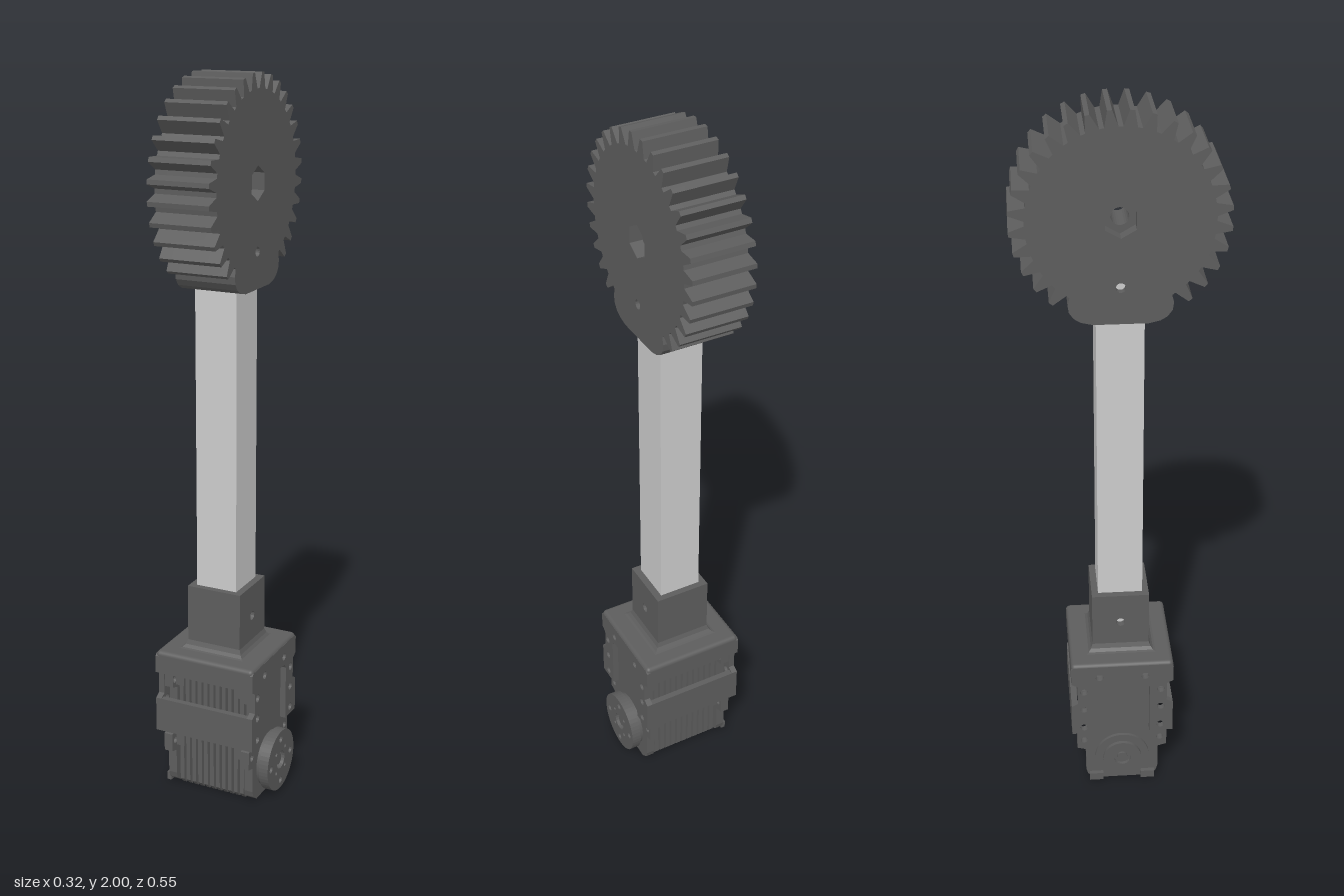
import * as THREE from 'three';
import { RoundedBoxGeometry } from 'three/addons/geometries/RoundedBoxGeometry.js';

const DARK = new THREE.MeshStandardMaterial({ color: 0x5d5d5d });
const GREY = new THREE.MeshStandardMaterial({ color: 0xcccccc });
const CX = -0.01; // the arm sits slightly off the x centre

function add(parent, name, geometry, material = DARK) {
  const mesh = new THREE.Mesh(geometry, material);
  mesh.name = name;
  parent.add(mesh);
  return mesh;
}

// Box given by its limits on each axis
function box(parent, name, x0, x1, y0, y1, z0, z1, material) {
  const g = new THREE.BoxGeometry(x1 - x0, y1 - y0, z1 - z0);
  g.translate((x0 + x1) / 2, (y0 + y1) / 2, (z0 + z1) / 2);
  return add(parent, name, g, material);
}

// Profile in the side plane, extruded along x from x0 to x1
function slab(parent, name, shape, x0, x1) {
  const g = new THREE.ExtrudeGeometry(shape, { depth: x1 - x0, bevelEnabled: false, curveSegments: 24 });
  g.rotateY(Math.PI / 2).translate(x0, 0, 0);
  return add(parent, name, g);
}

const pts = (list) => list.map(([a, b]) => new THREE.Vector2(a, b));

// Closed outline mirrored about the centre line
const mirrored = (half) => new THREE.Shape(pts([...half, ...half.map(([a, b]) => [-a, b]).reverse()]));

function hole(shape, a, b, r, sides = 20, turn = 0) {
  const ring = [];
  for (let i = 0; i < sides; i++) {
    const t = turn - (i / sides) * Math.PI * 2;
    ring.push([a + r * Math.cos(t), b + r * Math.sin(t)]);
  }
  shape.holes.push(new THREE.Path(pts(ring)));
}

function disc(parent, name, r, x0, x1, y, sides = 40) {
  const g = new THREE.CylinderGeometry(r, r, x1 - x0, sides);
  g.rotateZ(Math.PI / 2).translate((x0 + x1) / 2, y, 0);
  return add(parent, name, g);
}

// Gear outline: 32 teeth with the lowest six replaced by a rounded foot
function gearShape(cy) {
  const pitch = Math.PI / 16;
  const outline = [];
  const profile = [[-0.072, 0.235], [-0.045, 0.255], [-0.022, 0.275], [0.022, 0.275], [0.045, 0.255], [0.072, 0.235]];
  for (let i = 3; i < 29; i++) {
    const mid = -Math.PI / 2 + (i + 0.5) * pitch;
    for (const [da, r] of profile) outline.push([r * Math.cos(mid + da), cy + r * Math.sin(mid + da)]);
  }
  const foot = [[0.128, -0.198], [0.133, -0.218], [0.13, -0.238], [0.118, -0.255], [0.1, -0.266], [0.07, -0.273]];
  for (const [a, b] of foot) outline.push([-a, cy + b]);
  for (const [a, b] of foot.reverse()) outline.push([a, cy + b]);
  return new THREE.Shape(pts(outline));
}

function buildGear() {
  const group = new THREE.Group();
  group.name = 'gear';
  const cy = 1.728;
  // Hexagonal nut pockets on both faces, round bore between them
  for (const [name, x0, x1, r, sides] of [
    ['gearOuterLeft', 0.045, 0.08, 0.045, 6],
    ['gearCore', -0.055, 0.045, 0.023, 24],
    ['gearOuterRight', -0.09, -0.055, 0.045, 6],
  ]) {
    const shape = gearShape(cy);
    hole(shape, 0, cy, r, sides, Math.PI / 2);
    hole(shape, 0, 1.553, 0.013, 16);
    slab(group, name, shape, x0, x1);
  }
  return group;
}

function buildBracket() {
  const group = new THREE.Group();
  group.name = 'motorBracket';

  // Socket holding the tube, with a cross pin hole
  const socket = new THREE.Shape(pts([[-0.08, 0.42], [0.08, 0.42], [0.08, 0.62], [-0.08, 0.62]]));
  hole(socket, 0, 0.53, 0.013, 16);
  slab(group, 'socket', socket, CX - 0.08, CX + 0.08);

  // Curved flare at the foot of the socket
  const flare = [[0.105, 0.433], [0.092, 0.437], [0.085, 0.445], [0.08, 0.458]];
  for (let i = 0; i < 3; i++) {
    const [[r0, y0], [r1, y1]] = [flare[i], flare[i + 1]];
    const g = new THREE.CylinderGeometry(r1 * Math.SQRT2, r0 * Math.SQRT2, y1 - y0, 4, 1, true).toNonIndexed();
    g.rotateY(Math.PI / 4).translate(CX, (y0 + y1) / 2, 0);
    g.computeVertexNormals();
    add(group, 'socketFlare', g);
  }

  const top = new RoundedBoxGeometry(0.3, 0.03, 0.29, 3, 0.012);
  add(group, 'topPlate', top.translate(CX, 0.42, 0));

  // Side plates, open at the bottom to clear the motor
  const half = [
    [0.078, 0.19], [0.145, 0.19], [0.145, 0.29], [0.127, 0.3], [0.127, 0.36],
    [0.145, 0.37], [0.145, 0.42], [0.138, 0.427], [0.05, 0.427],
  ];
  const inner = [[0.05, 0.365], [0.07, 0.362], [0.078, 0.35]];
  for (const [x0, x1] of [[-0.16, -0.143], [0.123, 0.14]]) {
    const outer = half.slice(0, 8);
    const left = outer.map(([a, b]) => [-a, b]).reverse();
    const arch = [...inner].reverse().map(([a, b]) => [-a, b]);
    const plate = new THREE.Shape(pts([...outer, ...left, ...arch, ...inner]));
    for (const s of [-1, 1]) {
      hole(plate, s * 0.065, 0.39, 0.011, 14);
      for (const y of [0.34, 0.278, 0.212]) hole(plate, s * 0.11, y, 0.011, 14);
    }
    slab(group, 'bracketSide', plate, x0, x1);
  }

  // Walls across the front and back
  for (const s of [-1, 1]) {
    const [z0, z1] = s > 0 ? [0.128, 0.145] : [-0.145, -0.128];
    box(group, 'bracketBand', -0.16, 0.14, 0.19, 0.29, z0, z1);
    box(group, 'bracketLip', -0.16, 0.14, 0.37, 0.42, z0, z1);
  }
  return group;
}

function buildMotor() {
  const group = new THREE.Group();
  group.name = 'motor';
  box(group, 'motorCore', -0.125, 0.105, 0.02, 0.36, -0.078, 0.078);

  // Cooling fins wrap the front, underside and back
  for (let i = 0; i < 11; i++) {
    const x = -0.105 + i * 0.019;
    const fin = mirrored([[0.08, 0.003], [0.095, 0.02], [0.095, 0.368]]);
    slab(group, 'coolingFin', fin, x - 0.006, x + 0.006);
  }

  // End caps with screw ears
  const outline = [
    [0.078, 0.005], [0.1, 0.022], [0.105, 0.04], [0.105, 0.115], [0.13, 0.122], [0.13, 0.175],
    [0.095, 0.185], [0.095, 0.31], [0.122, 0.32], [0.122, 0.358], [0.095, 0.366],
  ];
  for (const [x0, x1] of [[-0.143, -0.118], [0.098, 0.123]]) {
    const cap = mirrored(outline);
    for (const s of [-1, 1]) for (const y of [0.15, 0.34]) hole(cap, s * 0.11, y, 0.01, 14);
    slab(group, 'motorEndCap', cap, x0, x1);
    // Screw bosses beside the fins
    const inward = x0 < 0 ? x1 : x0 - 0.025;
    for (const s of [-1, 1]) for (const y of [0.15, 0.34]) {
      const boss = mirrored([[0.01, y - 0.018], [0.01, y + 0.018]]);
      slab(group, 'screwBoss', boss, inward, inward + 0.025).position.z = s * 0.094;
    }
  }

  // Output horn on the left with bolt holes and hub
  const horn = new THREE.Shape().absarc(0, 0.1, 0.089, 0, Math.PI * 2);
  hole(horn, 0, 0.1, 0.026);
  for (let i = 0; i < 4; i++) {
    const t = (i * Math.PI) / 2;
    hole(horn, 0.065 * Math.cos(t), 0.1 + 0.065 * Math.sin(t), 0.01, 14);
    hole(horn, 0.042 * Math.cos(t + 0.785), 0.1 + 0.042 * Math.sin(t + 0.785), 0.006, 10);
  }
  slab(group, 'outputHorn', horn, 0.135, 0.162);
  disc(group, 'hornBacking', 0.08, 0.12, 0.14, 0.1);
  disc(group, 'hornBolt', 0.016, 0.135, 0.156, 0.1, 20);

  // Idler bearing on the right
  disc(group, 'idlerRim', 0.078, -0.152, -0.14, 0.092);
  const idler = new THREE.Shape().absarc(0, 0.092, 0.055, 0, Math.PI * 2);
  hole(idler, 0, 0.092, 0.024);
  slab(group, 'idlerRing', idler, -0.162, -0.15);
  disc(group, 'idlerBolt', 0.015, -0.158, -0.15, 0.092, 20);
  for (const s of [-1, 1]) {
    const z = s * 0.075;
    box(group, 'capFoot', -0.155, -0.142, 0.006, 0.03, z - 0.02, z + 0.02);
  }
  return group;
}

export function createModel() {
  const model = new THREE.Group();
  model.name = 'gearedArm';
  // Square tube runs into the socket and the gear foot
  box(model, 'squareTube', -0.07, 0.05, 0.44, 1.6, -0.062, 0.062, GREY);
  model.add(buildGear(), buildBracket(), buildMotor());
  return model;
}
